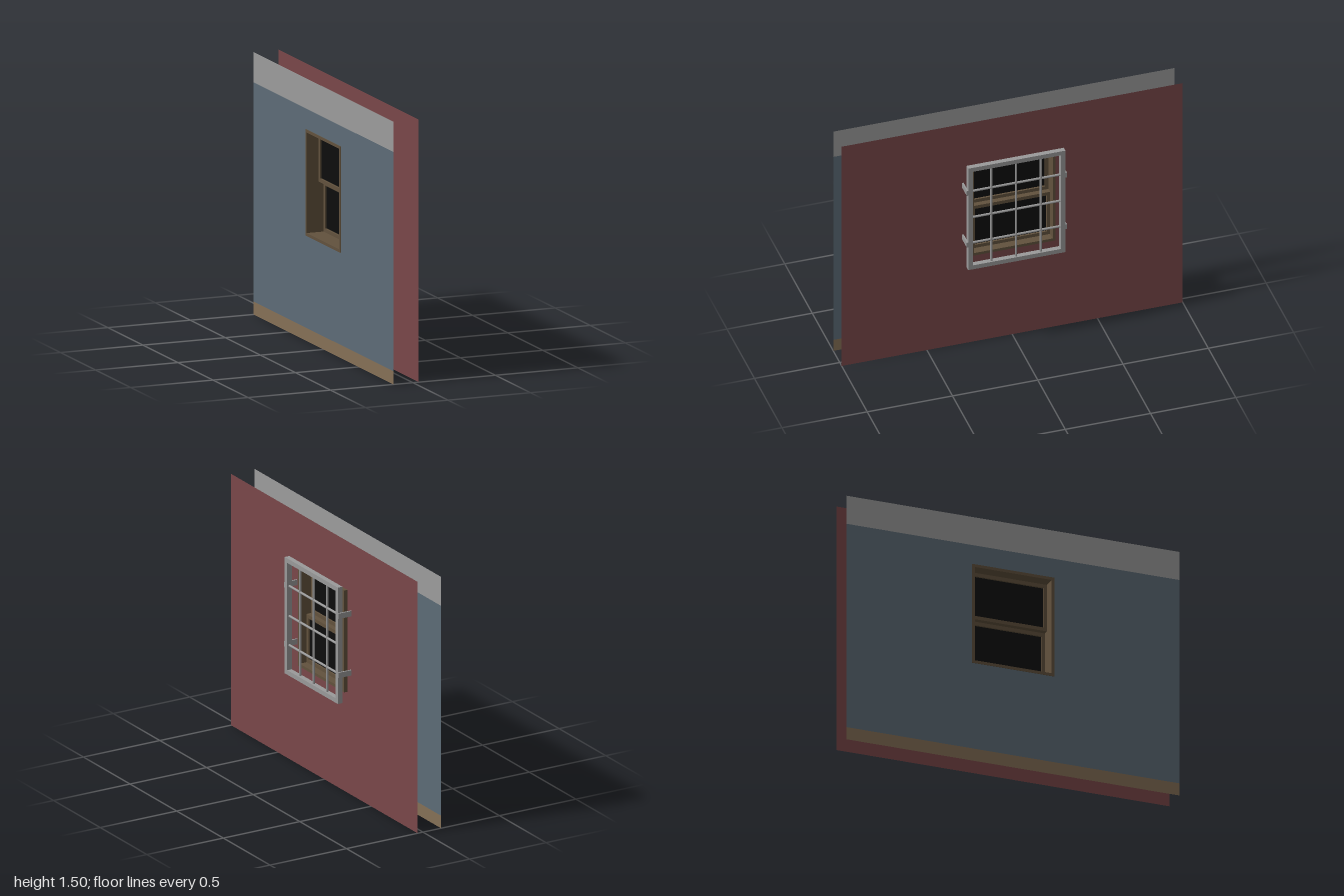
import * as THREE from 'three';

const mat = (name, color, side = THREE.FrontSide) => {
  const m = new THREE.MeshStandardMaterial({ color, side });
  m.name = name;
  return m;
};

export function createModel() {
  const brick = mat('brick red', 0x7a4749, THREE.DoubleSide);
  const blue = mat('wall blue', 0x5d6c77, THREE.DoubleSide);
  const plaster = mat('upper wall grey', 0x9c9c9c, THREE.DoubleSide);
  const tan = mat('skirting tan', 0x857056, THREE.DoubleSide);
  const wood = mat('window wood', 0x62523d);
  const steel = mat('grille steel', 0x9a9a9a);
  const glass = mat('dark glass', 0x0d0d0d);

  const model = new THREE.Group();
  model.name = 'wallWithBarredWindow';

  const add = (name, geometry, material, x, y, z, parent = model) => {
    const mesh = new THREE.Mesh(geometry, material);
    mesh.name = name;
    mesh.position.set(x, y, z);
    parent.add(mesh);
    return mesh;
  };

  // Rectangle in the z-y plane, with an optional rectangular hole
  const panel = (z, y0, y1, hole) => {
    const rect = (T, w, a, b) => {
      const p = new T();
      p.moveTo(-w, a); p.lineTo(w, a); p.lineTo(w, b); p.lineTo(-w, b); p.closePath();
      return p;
    };
    const s = rect(THREE.Shape, z, y0, y1);
    if (hole) s.holes.push(rect(THREE.Path, ...hole));
    return s;
  };
  const sheet = (shape) => new THREE.ShapeGeometry(shape).rotateY(Math.PI / 2);

  // Rectangular ring, extruded from x0 to x1
  const ring = (name, material, halfZ, y0, y1, t, x0, x1, parent) => {
    const shape = panel(halfZ, y0, y1, [halfZ - t, y0 + t, y1 - t]);
    const geo = new THREE.ExtrudeGeometry(shape, { depth: x1 - x0, bevelEnabled: false });
    return add(name, geo.rotateY(Math.PI / 2), material, x0, 0, 0, parent);
  };

  // Thin outer and inner wall skins with the window opening
  const opening = [0.247, 0.603, 1.207];
  const inner = -0.118, outer = 0.035;
  add('outerWall', sheet(panel(1, 0, 1.5, opening)), brick, outer, 0, 0);
  add('innerWall', sheet(panel(1, 0.075, 1.327, opening)), blue, inner, 0, 0);
  add('innerWallUpperBand', sheet(panel(1, 1.327, 1.5)), plaster, inner, 0, 0);
  add('skirting', sheet(panel(1, 0, 0.075)), tan, inner, 0, 0);

  // Deep window casing and two sliding sashes
  const win = new THREE.Group();
  win.name = 'window';
  model.add(win);
  ring('casing', wood, 0.248, 0.602, 1.21, 0.017, -0.121, 0.056, win);
  const sash = (name, y0, y1, x0) => {
    ring(name + 'Frame', wood, 0.232, y0, y1, 0.021, x0, x0 + 0.03, win);
    add(name + 'Glass', new THREE.BoxGeometry(0.008, y1 - y0 - 0.04, 0.424),
      glass, x0 + 0.015, (y0 + y1) / 2, 0, win);
  };
  sash('upperSash', 0.907, 1.193, -0.05);
  sash('lowerSash', 0.619, 0.907, -0.02);

  // Steel grille: border, rods and wall brackets
  const grille = new THREE.Group();
  grille.name = 'grille';
  model.add(grille);
  ring('grilleBorder', steel, 0.285, 0.557, 1.251, 0.027, 0.09, 0.12, grille);
  for (const z of [-0.145, 0, 0.145]) {
    add('verticalRod', new THREE.CylinderGeometry(0.007, 0.007, 0.66, 10), steel, 0.105, 0.904, z, grille);
  }
  for (const y of [0.73, 0.904, 1.083]) {
    const rod = new THREE.CylinderGeometry(0.007, 0.007, 0.54, 10).rotateX(Math.PI / 2);
    add('horizontalRod', rod, steel, 0.105, y, 0, grille);
  }
  for (const side of [-1, 1]) {
    for (const y of [0.73, 1.083]) {
      add('bracket', new THREE.BoxGeometry(0.085, 0.032, 0.009), steel, 0.0775, y, side * 0.2895, grille);
    }
  }
  return model;
}
